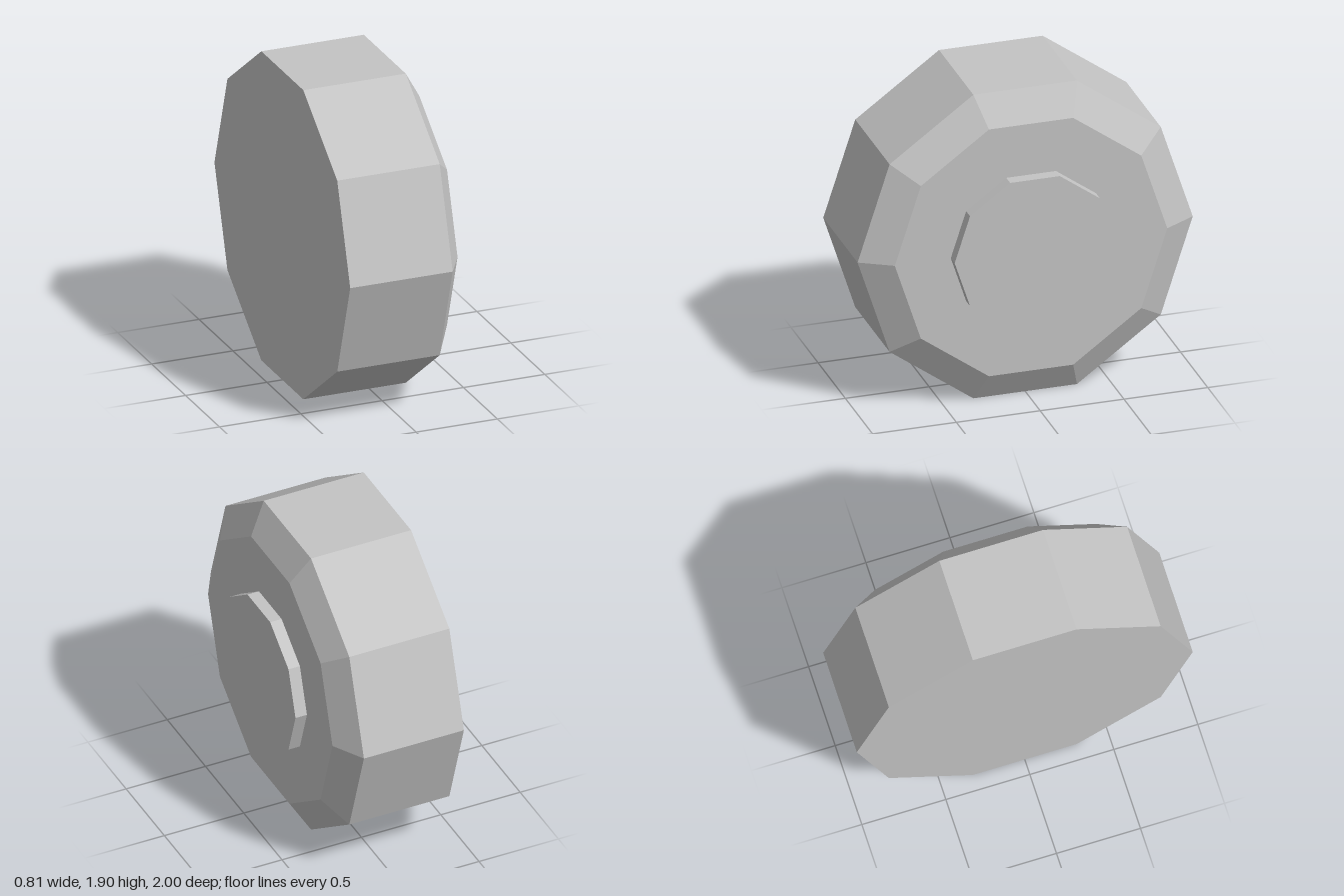
import * as THREE from 'three';

const SIDES = 10;
const CENTER_Y = 0.951;

export function createModel() {
  const group = new THREE.Group();
  group.name = 'wheel';

  const grey = new THREE.MeshStandardMaterial({ color: 0xc4c4c4, flatShading: true });
  grey.name = 'grey';

  // Ten-sided section along x, from x0 (radius r0) to x1 (radius r1)
  function section(name, x0, x1, r0, r1) {
    const geometry = new THREE.CylinderGeometry(r1, r0, x1 - x0, SIDES);
    geometry.rotateZ(-Math.PI / 2);
    geometry.translate((x0 + x1) / 2, CENTER_Y, 0);
    const mesh = new THREE.Mesh(geometry, grey);
    mesh.name = name;
    group.add(mesh);
  }

  section('tread', -0.405, 0.225, 1, 1);
  section('bevelledSidewall', 0.225, 0.333, 1, 0.813);
  section('hubCap', 0.333, 0.405, 0.479, 0.479);

  return group;
}
